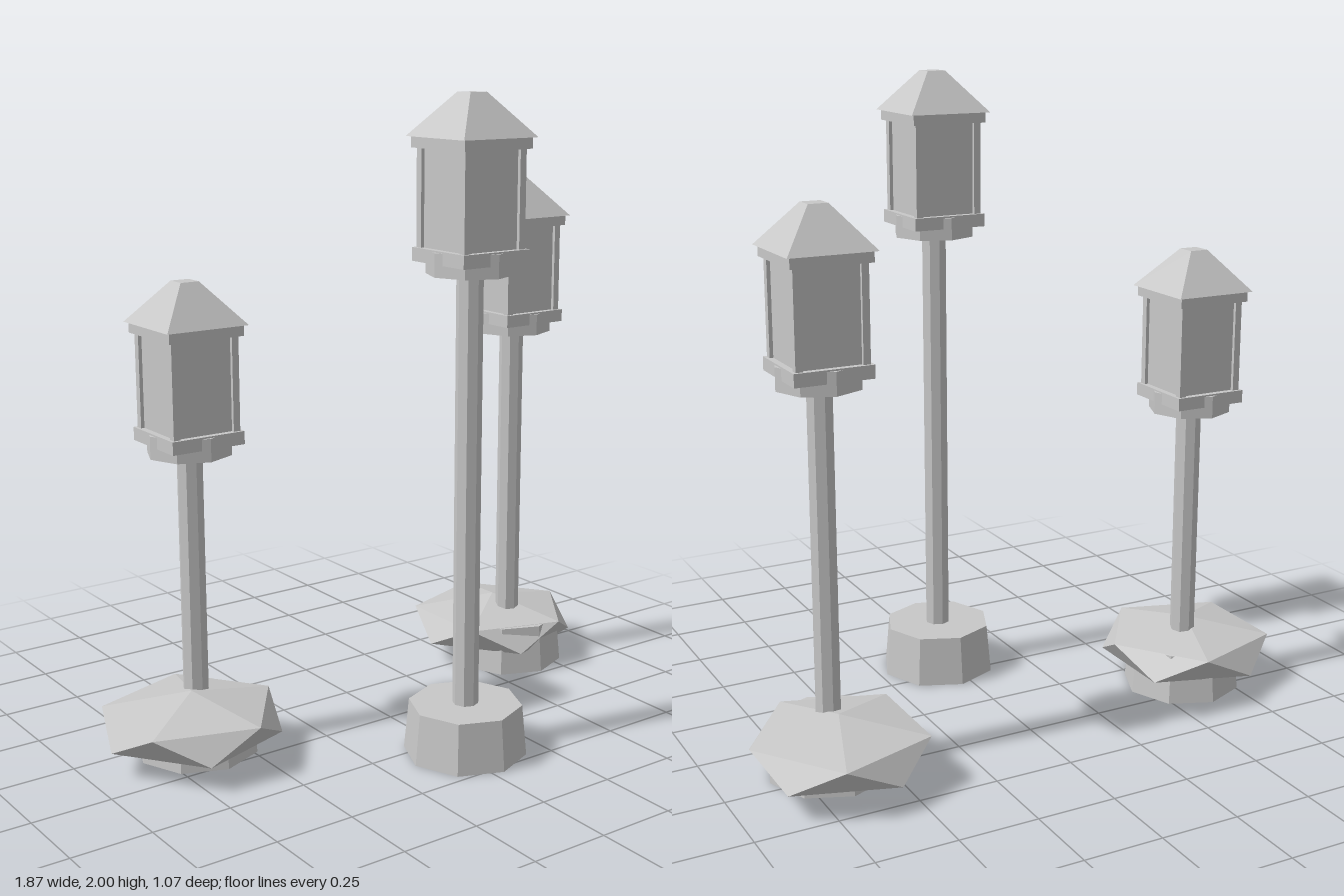
import * as THREE from 'three';

const stone = new THREE.MeshStandardMaterial({ color: 0xc8c8c8, flatShading: true });
stone.name = 'pale grey stone';

function add(parent, name, geometry, x = 0, y = 0, z = 0) {
  const mesh = new THREE.Mesh(geometry, stone);
  mesh.name = name;
  mesh.position.set(x, y, z);
  parent.add(mesh);
  return mesh;
}

// Upright prism or frustum from y0 to y1
function frustum(rTop, rBottom, y0, y1, sides) {
  return new THREE.CylinderGeometry(rTop, rBottom, y1 - y0, sides).translate(0, (y0 + y1) / 2, 0);
}

// Square slab from y0 to y1
function slab(half, y0, y1) {
  return new THREE.BoxGeometry(half * 2, y1 - y0, half * 2).translate(0, (y0 + y1) / 2, 0);
}

// Lantern head, standing on its own y = 0
function lantern() {
  const head = new THREE.Group();
  head.name = 'lantern';
  add(head, 'collar', frustum(0.13, 0.13, 0, 0.07, 8));
  add(head, 'floorPlate', slab(0.12, 0.035, 0.075));
  add(head, 'panes', slab(0.1, 0.075, 0.36));
  for (const sx of [-1, 1]) for (const sz of [-1, 1]) {
    add(head, 'cornerPost', new THREE.BoxGeometry(0.022, 0.285, 0.022), sx * 0.1, 0.2175, sz * 0.1);
  }
  add(head, 'cornice', slab(0.123, 0.36, 0.392));
  // Truncated pyramid roof
  add(head, 'roof', frustum(0.03 * Math.SQRT2, 0.134 * Math.SQRT2, 0.392, 0.517, 4).rotateY(Math.PI / 4));
  return head;
}

// Squashed twenty-sided boulder with one vertex on top
function boulder() {
  return new THREE.IcosahedronGeometry(1)
    .rotateX(-Math.atan((1 + Math.sqrt(5)) / 2))
    .rotateY(Math.PI / 2)
    .scale(0.307, 0.092, 0.307);
}

function lamp(name, x, z, height, rock) {
  const group = new THREE.Group();
  group.name = name;
  group.position.set(x, 0, z);
  const headY = height - 0.517;
  add(group, 'base', frustum(0.175, 0.19, 0, 0.16, 8));
  add(group, 'pole', frustum(0.04, 0.04, 0.15, headY + 0.01, 8));
  const head = lantern();
  head.position.y = headY;
  group.add(head);
  if (rock) add(group, 'boulder', boulder(), rock[0], 0.12, rock[1]);
  return group;
}

export function createModel() {
  const model = new THREE.Group();
  model.name = 'lampPosts';
  model.add(
    lamp('tallLamp', 0.036, 0.34, 2, null),
    lamp('shortLamp', -0.622, -0.163, 1.46, [-0.039, 0.041]),
    lamp('middleLamp', 0.655, -0.2, 1.694, [0, -0.08]),
  );
  return model;
}
